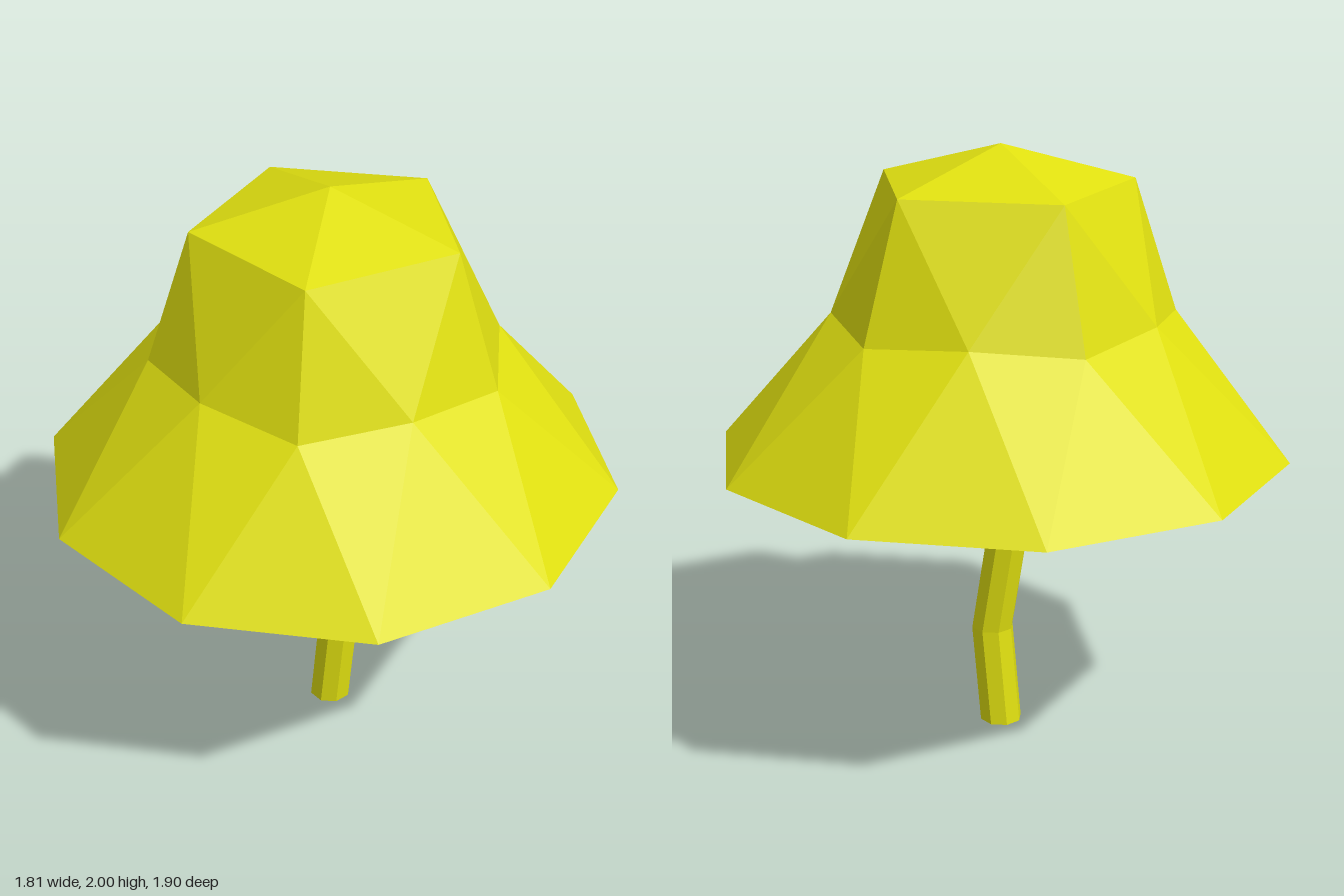
import * as THREE from 'three';

const yellow = new THREE.MeshStandardMaterial({ color: 0xe0e010, flatShading: true });
yellow.name = 'yellow';

// Horizontal ring of n points, first one at angle start (measured from +x towards +z)
function ring(n, radius, y, start = 0) {
  return Array.from({ length: n }, (_, i) => {
    const a = start + (i / n) * Math.PI * 2;
    return new THREE.Vector3(Math.cos(a) * radius, y, Math.sin(a) * radius);
  });
}

function facetedMesh(name, points) {
  const geometry = new THREE.BufferGeometry().setFromPoints(points);
  geometry.computeVertexNormals();
  const mesh = new THREE.Mesh(geometry, yellow);
  mesh.name = name;
  return mesh;
}

export function createModel() {
  const model = new THREE.Group();
  model.name = 'mushroom';

  const apex = new THREE.Vector3(0, 2, 0);
  const crown = ring(5, 0.435, 1.88);
  const waist = ring(10, 0.58, 1.44);
  // every second waist corner sits on the flat of the pentagon
  ring(10, 0.55, 1.47).forEach((p, i) => { if (i % 2) waist[i].copy(p); });
  const rim = ring(10, 0.95, 0.99, Math.PI / 10);
  const ceiling = ring(10, 0.55, 1.18, Math.PI / 10);
  const ceilingCentre = new THREE.Vector3(0, 1.18, 0);

  // Cap top: shallow pentagonal pyramid and the walls below it
  const top = [];
  for (let i = 0; i < 5; i++) {
    const a = crown[i], b = crown[(i + 1) % 5];
    const w0 = waist[2 * i], w1 = waist[2 * i + 1], w2 = waist[(2 * i + 2) % 10];
    top.push(a, apex, b, w0, a, w1, a, b, w1, w1, b, w2);
  }
  model.add(facetedMesh('capTop', top));

  // Flared brim and hollow underside
  const brim = [], under = [];
  for (let i = 0; i < 10; i++) {
    const j = (i + 1) % 10;
    brim.push(rim[i], waist[j], rim[j], waist[i], waist[j], rim[i]);
    under.push(rim[i], rim[j], ceiling[i], rim[j], ceiling[j], ceiling[i]);
    under.push(ceilingCentre, ceiling[i], ceiling[j]);
  }
  model.add(facetedMesh('capBrim', brim), facetedMesh('capUnderside', under));

  // Crooked eight-sided stem
  const bends = [[0, 0], [0.033, 0.34], [-0.045, 0.81], [0, 1.19]];
  const stemGeometry = new THREE.CylinderGeometry(0.072, 0.072, 3, 8, 3);
  const pos = stemGeometry.attributes.position;
  for (let i = 0; i < pos.count; i++) {
    const [x, y] = bends[Math.round(pos.getY(i) + 1.5)];
    pos.setX(i, pos.getX(i) + x);
    pos.setY(i, y);
  }
  stemGeometry.computeVertexNormals();
  const stem = new THREE.Mesh(stemGeometry, yellow);
  stem.name = 'stem';
  model.add(stem);

  return model;
}
